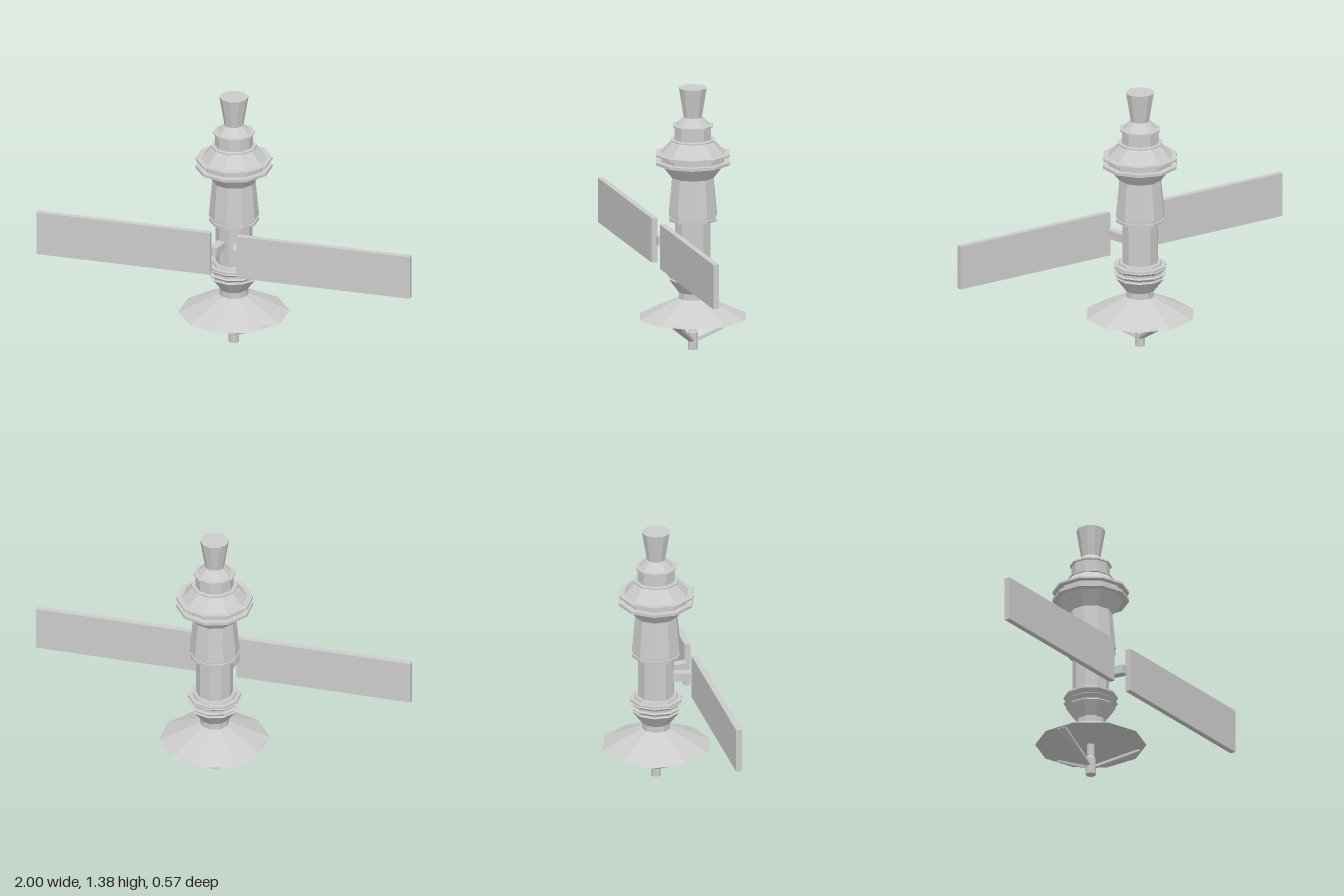
import * as THREE from 'three';

const SIDES = 10;
const material = new THREE.MeshStandardMaterial({ color: 0xcccccc, flatShading: true });

// Ten-sided turned part from [radius, height] points, listed bottom to top
function turned(name, profile) {
  const points = profile.map(([r, y]) => new THREE.Vector2(r, y));
  const mesh = new THREE.Mesh(new THREE.LatheGeometry(points, SIDES), material);
  mesh.name = name;
  return mesh;
}

// Bar along +x whose rectangular section changes from end a to end b
// Each end is { x, y, z, h, w }: centre, height and width
function taperedBar(name, a, b) {
  const geometry = new THREE.BoxGeometry(1, 1, 1);
  const p = geometry.attributes.position;
  for (let i = 0; i < p.count; i++) {
    const e = p.getX(i) < 0 ? a : b;
    p.setXYZ(i, e.x, e.y + p.getY(i) * e.h, e.z + p.getZ(i) * e.w);
  }
  geometry.computeVertexNormals();
  const mesh = new THREE.Mesh(geometry, material);
  mesh.name = name;
  return mesh;
}

export function createModel() {
  const model = new THREE.Group();
  model.name = 'satellite';

  // Antenna at the foot: feed, dish and three struts
  model.add(turned('antennaFeed', [[0, 0], [0.027, 0], [0.027, 0.09], [0.02, 0.1], [0.02, 0.17]]));
  model.add(turned('antennaDish', [[0, 0.17], [0.287, 0.17], [0.155, 0.235], [0.07, 0.275], [0, 0.275]]));
  for (const degrees of [36, -72, 180]) {
    const strut = taperedBar('antennaStrut',
      { x: 0.015, y: 0.047, z: 0, h: 0.016, w: 0.026 },
      { x: 0.262, y: 0.172, z: 0, h: 0.012, w: 0.05 });
    strut.rotation.y = -THREE.MathUtils.degToRad(degrees);
    model.add(strut);
  }

  // Lower hull: neck, cone and ribbed collar
  model.add(turned('lowerCollar', [
    [0.075, 0.265], [0.075, 0.305], [0.128, 0.375], [0.12, 0.379], [0.12, 0.386],
    [0.14, 0.402], [0.12, 0.404], [0.12, 0.415], [0.142, 0.432], [0.136, 0.434],
    [0.136, 0.445], [0.115, 0.445], [0.11, 0.46], [0, 0.46],
  ]));

  // Slim middle section
  model.add(turned('middleHull', [[0.095, 0.45], [0.095, 0.69]]));

  // Tapered main hull with a grooved base
  model.add(turned('mainHull', [
    [0, 0.685], [0.128, 0.685], [0.128, 0.7], [0.12, 0.7], [0.12, 0.715],
    [0.13, 0.715], [0.111, 0.915],
  ]));

  // Wide double-flanged ring
  model.add(turned('flangedRing', [
    [0.111, 0.912], [0.168, 0.985], [0.198, 0.985], [0.198, 1.0], [0.168, 1.0],
    [0.168, 1.03], [0.198, 1.03], [0.198, 1.04], [0.17, 1.04], [0.1, 1.115],
  ]));

  // Upper collar and engine nozzle
  model.add(turned('upperCollar', [
    [0.1, 1.105], [0.118, 1.105], [0.118, 1.112], [0.098, 1.112], [0.098, 1.18],
    [0.108, 1.18], [0.108, 1.188], [0.09, 1.188], [0.05, 1.23],
  ]));
  model.add(turned('nozzle', [[0.049, 1.228], [0.075, 1.385], [0, 1.385]]));

  // Solar wings, each on a slanted arm
  for (const side of [-1, 1]) {
    const panel = new THREE.Mesh(new THREE.BoxGeometry(0.93, 0.235, 0.03), material);
    panel.name = side > 0 ? 'leftPanel' : 'rightPanel';
    panel.position.set(side * 0.535, 0.572, 0.185);
    model.add(panel);

    const armGeometry = new THREE.BoxGeometry(0.045, 0.046, 0.105);
    const p = armGeometry.attributes.position;
    for (let i = 0; i < p.count; i++) {
      p.setX(i, p.getX(i) + side * (p.getZ(i) > 0 ? 0.065 : 0.042));
    }
    armGeometry.computeVertexNormals();
    const arm = new THREE.Mesh(armGeometry, material);
    arm.name = side > 0 ? 'leftArm' : 'rightArm';
    arm.position.set(0, 0.573, 0.1225);
    model.add(arm);
  }

  return model;
}
